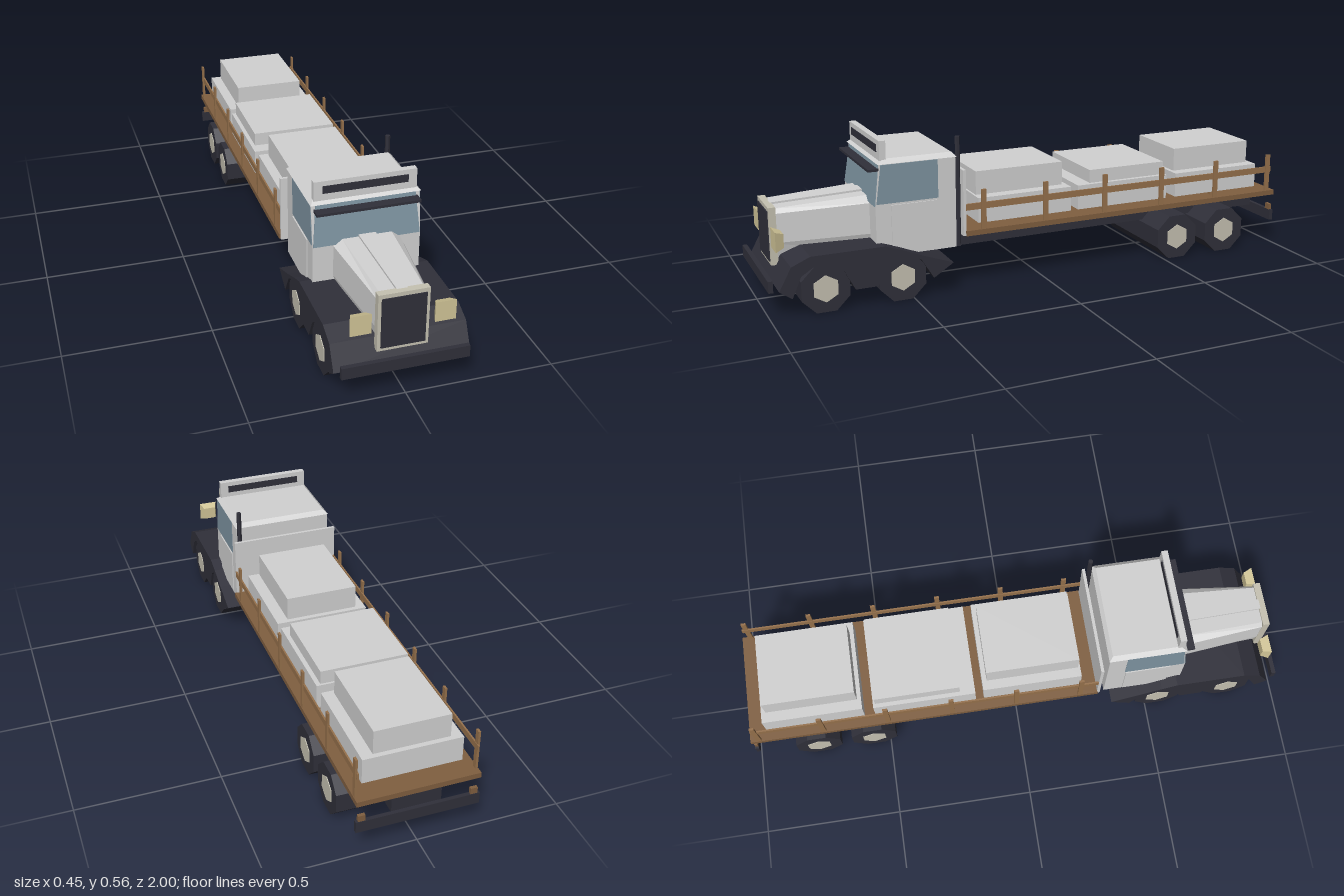
import * as THREE from 'three';

const mat = (name, color) => {
  const m = new THREE.MeshStandardMaterial({ color });
  m.name = name;
  m.flatShading = true;
  return m;
};

export function createModel() {
  const grey = mat('lightGrey', 0xd2d2d2);
  const dark = mat('charcoal', 0x30303a);
  const glass = mat('glass', 0x7f95a2);
  const cream = mat('cream', 0xc6c2b2);
  const lamp = mat('lampYellow', 0xd2c698);
  const wood = mat('wood', 0x805f40);
  const paleWood = mat('paleWood', 0x96714c);

  const truck = new THREE.Group();
  truck.name = 'truck';

  const add = (name, geo, material, parent = truck) => {
    const m = new THREE.Mesh(geo, material);
    m.name = name;
    parent.add(m);
    return m;
  };
  // box given by its limits on each axis
  const box = (name, [x0, x1], [y0, y1], [z0, z1], material, parent) => {
    const g = new THREE.BoxGeometry(x1 - x0, y1 - y0, z1 - z0);
    g.translate((x0 + x1) / 2, (y0 + y1) / 2, (z0 + z1) / 2);
    return add(name, g, material, parent);
  };
  // side profile of [z, y] points, extruded across x
  const profile = (name, pts, width, x, material, parent) => {
    const shape = new THREE.Shape(pts.map(p => new THREE.Vector2(p[0], p[1])));
    const g = new THREE.ExtrudeGeometry(shape, { depth: width, bevelEnabled: false });
    g.rotateY(-Math.PI / 2);
    g.translate(x + width / 2, 0, 0);
    return add(name, g, material, parent);
  };
  // solid between two matching sections, counterclockwise seen from the second one's side
  const loft = (name, a, b, material, parent) => {
    const v = [], n = a.length;
    const tri = (...p) => p.forEach(q => v.push(...q));
    for (let i = 0; i < n; i++) {
      const j = (i + 1) % n;
      tri(a[i], a[j], b[j]);
      tri(a[i], b[j], b[i]);
    }
    for (let i = 1; i < n - 1; i++) {
      tri(b[0], b[i], b[i + 1]);
      tri(a[0], a[i + 1], a[i]);
    }
    const g = new THREE.BufferGeometry();
    g.setAttribute('position', new THREE.Float32BufferAttribute(v, 3));
    g.computeVertexNormals();
    return add(name, g, material, parent);
  };

  // cab body, roof and rooftop sign box
  const cab = new THREE.Group();
  cab.name = 'cab';
  truck.add(cab);
  profile('cabBody', [[0.33, 0.155], [0.62, 0.155], [0.62, 0.335], [0.6, 0.48], [0.33, 0.48]], 0.37, 0, grey, cab);
  const flat = (w, y, z0, z1) => [[w, y, z1], [w, y, z0], [-w, y, z0], [-w, y, z1]];
  loft('roof', flat(0.188, 0.48, 0.327, 0.608), flat(0.172, 0.496, 0.34, 0.585), grey, cab);
  box('roofSign', [-0.175, 0.175], [0.49, 0.558], [0.575, 0.598], grey, cab);
  box('roofSignPanel', [-0.145, 0.145], [0.515, 0.541], [0.572, 0.601], dark, cab);
  box('sunVisor', [-0.177, 0.177], [0.455, 0.464], [0.595, 0.64], dark, cab);

  // windows and doors
  const pane = off => [[0.183, 0.335], [0.17, 0.479], [-0.17, 0.479], [-0.183, 0.335]]
    .map(([x, y]) => [x, y, 0.62 - (y - 0.335) * 0.138 + off]);
  loft('windscreen', pane(-0.002), pane(0.003), glass, cab);
  for (const s of [1, -1]) {
    profile('sideWindow', [[0.395, 0.342], [0.616, 0.342], [0.598, 0.478], [0.395, 0.478]], 0.004, s * 0.185, glass, cab);
    box('door', s > 0 ? [0.183, 0.189] : [-0.189, -0.183], [0.165, 0.335], [0.4, 0.565], grey, cab);
  }

  // tapered bonnet with chamfered shoulders
  const bonnet = (w, shoulder, tw, top, z) => [
    [w * 0.8, 0.145, z], [w, 0.22, z], [w, shoulder, z], [tw, top, z],
    [-tw, top, z], [-w, shoulder, z], [-w, 0.22, z], [-w * 0.8, 0.145, z]];
  loft('bonnet', bonnet(0.115, 0.33, 0.085, 0.352, 0.615), bonnet(0.082, 0.322, 0.07, 0.338, 0.945), grey);
  const spine = (w, y, z) => [[w, 0.325, z], [w, y, z], [-w, y, z], [-w, 0.325, z]];
  loft('bonnetSpine', spine(0.03, 0.359, 0.615), spine(0.018, 0.345, 0.94), grey);

  // grille
  box('grilleFrame', [-0.084, 0.084], [0.143, 0.345], [0.935, 0.96], cream);
  box('grille', [-0.073, 0.073], [0.155, 0.331], [0.957, 0.964], dark);

  // headlights, wider at the front
  const rect = (cx, cy, r, z) => [[cx + r, cy - r, z], [cx + r, cy + r, z], [cx - r, cy + r, z], [cx - r, cy - r, z]];
  for (const s of [1, -1])
    loft('headlight', rect(s * 0.138, 0.25, 0.024, 0.93), rect(s * 0.138, 0.25, 0.035, 0.96), lamp);

  // fenders arching over the front axles
  profile('fenders', [
    [0.968, 0.097], [0.925, 0.177], [0.86, 0.205], [0.603, 0.205], [0.545, 0.185], [0.464, 0.152],
    [0.357, 0.113], [0.43, 0.067], [0.475, 0.14], [0.515, 0.162], [0.571, 0.162], [0.598, 0.14],
    [0.63, 0.067], [0.71, 0.067], [0.748, 0.14], [0.785, 0.167], [0.85, 0.167], [0.893, 0.14],
    [0.925, 0.067]], 0.45, 0, dark);

  // wheels run the full width on each axle
  for (const z of [0.81, 0.54, -0.555, -0.765]) {
    const axle = new THREE.Group();
    axle.name = 'wheelPair';
    axle.position.set(0, 0.083, z);
    truck.add(axle);
    const tyre = new THREE.CylinderGeometry(0.09, 0.09, 0.434, 8);
    tyre.rotateY(Math.PI / 8).rotateZ(Math.PI / 2);
    add('tyres', tyre, dark, axle);
    const hub = new THREE.CylinderGeometry(0.048, 0.048, 0.439, 6);
    hub.rotateY(Math.PI / 6).rotateZ(Math.PI / 2);
    add('hubs', hub, cream, axle);
  }

  // chassis, bumpers, rear lamps
  box('chassis', [-0.085, 0.085], [0.123, 0.177], [-0.98, 0.5], dark);
  box('frontBumper', [-0.21, 0.21], [0.092, 0.133], [0.984, 1], dark);
  box('rearBumper', [-0.21, 0.21], [0.092, 0.133], [-1, -0.986], dark);
  for (const x of [-0.19, 0.19])
    box('rearLamp', [x - 0.012, x + 0.012], [0.133, 0.155], [-0.998, -0.986], wood);

  // exhaust stack and headboard behind the cab
  const pipe = new THREE.CylinderGeometry(0.009, 0.009, 0.395, 6);
  pipe.translate(0.177, 0.3525, 0.319);
  add('exhaustStack', pipe, dark);
  box('headboard', [-0.204, 0.202], [0.195, 0.433], [0.298, 0.309], grey);

  // wooden deck with stake sides
  box('deck', [-0.209, 0.209], [0.195, 0.214], [-1, 0.3], wood);
  for (const s of [1, -1]) {
    const span = (a, b) => (s > 0 ? [a, b] : [-b, -a]);
    box('sideRail', span(0.197, 0.203), [0.287, 0.31], [-0.983, 0.3], paleWood);
    for (let i = 0; i < 6; i++) {
      const z = 0.233 - i * 0.24;
      box('stake', span(0.199, 0.207), [0.21, 0.358], [z - 0.009, z + 0.009], paleWood);
    }
  }

  // stacked crates on wooden skids: base limits, top limits, top height, skid position
  const loads = [
    [[-0.17, 0.17], [-0.125, 0.24], [-0.135, 0.127], [-0.108, 0.232], 0.403, 0.062],
    [[-0.177, 0.168], [-0.53, -0.155], [-0.162, 0.152], [-0.522, -0.21], 0.366, -0.27],
    [[-0.173, 0.168], [-0.935, -0.57], [-0.135, 0.127], [-0.918, -0.585], 0.403, -0.745]];
  for (const [bx, bz, tx, tz, h, sz] of loads) {
    box('lowerCrate', bx, [0.226, 0.317], bz, grey);
    box('upperCrate', tx, [0.317, h], tz, grey);
    box('skid', [-0.165, 0.165], [0.214, 0.228], [sz - 0.013, sz + 0.013], paleWood);
  }

  return truck;
}
